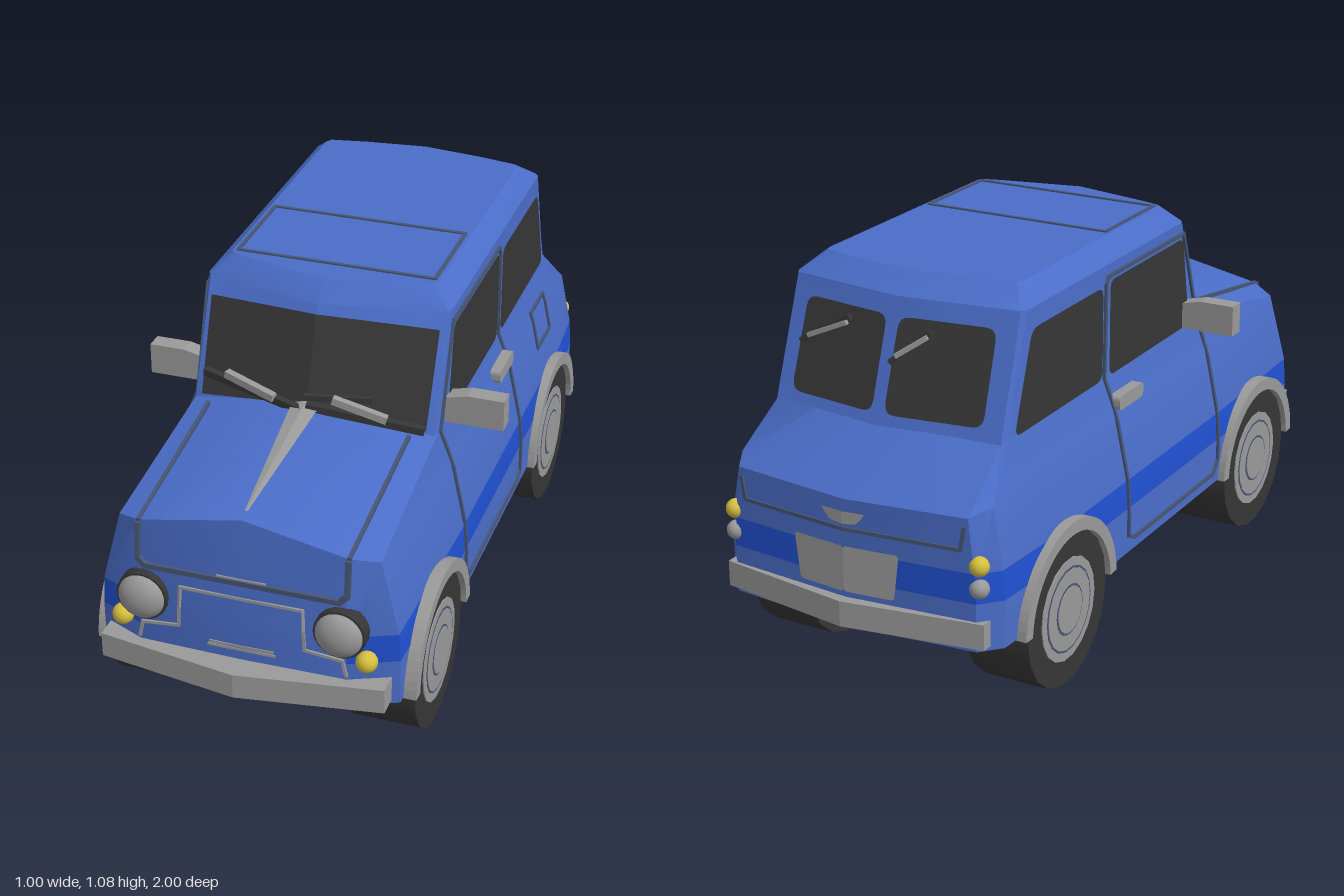
import * as THREE from 'three';
import { mergeGeometries, toCreasedNormals } from 'three/addons/utils/BufferGeometryUtils.js';

const paint = (name, color) => {
  const m = new THREE.MeshStandardMaterial({ color, side: THREE.DoubleSide });
  m.name = name;
  return m;
};

export function createModel() {
  const car = new THREE.Group();
  car.name = 'smallCar';
  const blue = paint('bodyBlue', 0x4a6dc8), stripe = paint('stripeBlue', 0x2050d0);
  const grey = paint('trimGrey', 0x9a9a9a), dark = paint('glassAndRubber', 0x363636);
  const line = paint('seamGrey', 0x465575), yellow = paint('lampYellow', 0xd6c040);

  const add = (name, geo, mat, x = 0, y = 0, z = 0, parent = car) => {
    const m = new THREE.Mesh(geo, mat);
    m.name = name;
    m.position.set(x, y, z);
    parent.add(m);
    return m;
  };

  // Surface rules shared by the body and the parts that lie on it
  const screenZ = (x, y) => 0.42 - 0.22 * Math.abs(x) - 0.4 * (y - 0.79);
  const rearZ = (x, y) => -0.81 + 0.136 * Math.abs(x) + 0.355 * (y - 0.72);
  const noseZ = y => 0.928 - 0.1 * Math.max(0, y - 0.44);
  const tailZ = x => -0.97 + 0.1 * Math.abs(x);
  const hoodY = (x, z) => 0.715 + 0.156 * (0.9 - z) - 0.2 * Math.abs(x);
  const sideProfile = [[0.23, 0.42], [0.36, 0.42], [0.44, 0.415], [0.63, 0.375], [0.72, 0.34], [1.03, 0.34], [1.08, 0.29]];
  const sideX = y => {
    const i = Math.max(1, sideProfile.findIndex(p => p[0] >= y));
    const [a, b] = [sideProfile[i - 1], sideProfile[i]];
    return a[1] + (b[1] - a[1]) * (y - a[0]) / (b[0] - a[0]);
  };

  // Body: half outlines from front centre round to rear centre, stacked upwards
  const plan = [[0, 0.93], [0.28, 0.925], [0.405, 0.87], [0.42, 0.38], [0.42, -0.7], [0.41, -0.88], [0.36, -0.935], [0, -0.97]];
  const level = (y, k) => plan.map(([x, z]) => [x * k, y, z]);
  const front = (x, y) => [x, y, screenZ(x, y)], rear = (x, y) => [x, y, rearZ(x, y)];
  const halves = [
    level(0.23, 1), level(0.36, 1), level(0.44, 0.988),
    [[0, 0.715, 0.9], [0.28, 0.66, 0.9], [0.35, 0.64, 0.86], [0.375, 0.63, 0.38], [0.375, 0.63, -0.7],
      [0.375, 0.6, -0.87], [0.34, 0.585, -0.935], [0, 0.58, -0.97]],
    [front(0, 0.79), front(0.28, 0.732), front(0.335, 0.72), [0.34, 0.72, 0.35], [0.34, 0.72, -0.74],
      rear(0.335, 0.715), rear(0.2, 0.72), rear(0, 0.72)],
    [front(0, 1.03), front(0.28, 1.03), front(0.33, 1.03), [0.34, 1.03, 0.235], [0.34, 1.03, -0.64],
      rear(0.33, 1.03), rear(0.2, 1.03), rear(0, 1.03)],
    [[0, 1.08, 0.27], [0.23, 1.08, 0.22], [0.28, 1.08, 0.205], [0.29, 1.08, 0.19], [0.29, 1.08, -0.57],
      [0.28, 1.08, -0.59], [0.17, 1.08, -0.61], [0, 1.08, -0.63]],
  ];
  const rings = halves.map(h => [...h, ...h.slice(1, -1).reverse().map(([x, y, z]) => [-x, y, z])]);
  const faces = [[], [], []];
  const n = rings[0].length;
  rings.slice(0, -1).forEach((low, r) => {
    const up = rings[r + 1];
    for (let i = 0; i < n; i++) {
      const j = (i + 1) % n;
      const striped = r === 1 && i !== 0 && i !== n - 1;
      faces[striped ? 1 : 0].push(low[i], low[j], up[j], low[i], up[j], up[i]);
    }
  });
  for (let i = 1; i < n - 1; i++) {
    const top = rings[rings.length - 1], floor = rings[0];
    faces[0].push(top[0], top[i], top[i + 1]);
    faces[2].push(floor[0], floor[i + 1], floor[i]);
  }
  const shell = new THREE.BufferGeometry();
  shell.setAttribute('position', new THREE.Float32BufferAttribute(faces.flat(2), 3));
  let start = 0;
  faces.forEach((f, i) => { shell.addGroup(start, f.length, i); start += f.length; });
  add('body', toCreasedNormals(shell, 0.5), [blue, stripe, dark]);

  // Flat plate with rounded corners, laid on a surface by a placing rule
  const rounded = (pts, r) => {
    const v = pts.map(p => new THREE.Vector2(...p)), s = new THREE.Shape();
    v.forEach((p, i) => {
      const toward = q => p.clone().add(q.clone().sub(p).setLength(r));
      const a = toward(v[(i + v.length - 1) % v.length]), b = toward(v[(i + 1) % v.length]);
      i ? s.lineTo(a.x, a.y) : s.moveTo(a.x, a.y);
      s.quadraticCurveTo(p.x, p.y, b.x, b.y);
    });
    return s;
  };
  const plate = (name, pts, r, place, mat) => {
    const g = new THREE.ShapeGeometry(rounded(pts, r), 4), p = g.attributes.position;
    for (let i = 0; i < p.count; i++) p.setXYZ(i, ...place(p.getX(i), p.getY(i)));
    // keep the front of the plate facing away from the car
    g.computeVertexNormals();
    const c = new THREE.Vector3().fromBufferAttribute(p, 0).sub(new THREE.Vector3(0, 0.5, 0));
    if (new THREE.Vector3().fromBufferAttribute(g.attributes.normal, 0).dot(c) < 0) {
      g.index.array.reverse();
      g.computeVertexNormals();
    }
    return add(name, g, mat);
  };
  // Square bar between two points, and lines made of short bars
  const bar = (a, b, w) => {
    const [p, q] = [new THREE.Vector3(...a), new THREE.Vector3(...b)];
    const g = new THREE.BoxGeometry(w, w, p.distanceTo(q) + w * 0.5);
    const o = new THREE.Object3D();
    o.position.copy(p).lerp(q, 0.5);
    o.lookAt(q);
    o.updateMatrix();
    return g.applyMatrix4(o.matrix);
  };
  const seam = (name, pts, place, mat = line, w = 0.01) => {
    const bars = [];
    for (let i = 1; i < pts.length; i++) for (let k = 0; k < 8; k++) {
      const at = t => place(...pts[i - 1].map((a, d) => a + (pts[i][d] - a) * t));
      bars.push(bar(at(k / 8), at((k + 1) / 8), w));
    }
    add(name, mergeGeometries(bars), mat);
  };

  const wheelShape = new THREE.Shape();
  wheelShape.absarc(0, 0, 0.247, 0.06, Math.PI - 0.06, false);
  wheelShape.absarc(0, 0, 0.212, Math.PI - 0.06, 0.06, true);
  const archGeo = new THREE.ExtrudeGeometry(wheelShape, { depth: 0.06, bevelEnabled: false, curveSegments: 14 });

  for (const s of [1, -1]) {
    const onSide = (z, y) => [s * (sideX(y) + 0.002), y, z];
    const onGlass = (z, y) => [s * 0.345, y, z];
    // Windows
    plate('frontSideWindow', [[0.285, 0.72], [0.235, 0.985], [-0.205, 0.985], [-0.205, 0.72]], 0.025, onGlass, dark);
    plate('rearSideWindow', [[-0.245, 0.72], [-0.245, 0.978], [-0.625, 0.978], [-0.715, 0.72]], 0.03, onGlass, dark);
    plate('windscreen', [[0, 0.785], [0.315, 0.735], [0.318, 0.985], [0, 1.008]], 0.004,
      (x, y) => [s * x, y, screenZ(x, y) + 0.007], dark);
    plate('rearWindow', [[0.018, 0.75], [0.285, 0.75], [0.28, 0.985], [0.018, 0.985]], 0.03,
      (x, y) => [s * x, y, rearZ(x, y) - 0.007], dark);
    // Door outline and handle
    seam('doorSeam', [[0.34, 0.3], [0.34, 0.72], [0.24, 0.998], [-0.21, 0.998], [-0.225, 0.98], [-0.23, 0.72],
      [-0.23, 0.28], [-0.2, 0.265], [0.31, 0.265], [0.34, 0.3]], onSide);
    const handle = rounded([[-0.07, -0.02], [0.07, -0.02], [0.07, 0.02], [-0.07, 0.02]], 0.015);
    add('doorHandle', new THREE.ExtrudeGeometry(handle, { depth: 0.03, bevelEnabled: false }).rotateY(Math.PI / 2),
      grey, s * 0.375 - 0.015, 0.655, -0.16);
    // Wing mirror
    const mirror = new THREE.Shape([[0.33, 0.72], [0.5, 0.72], [0.5, 0.807], [0.4, 0.807], [0.33, 0.79]]
      .map(([x, y]) => new THREE.Vector2(s * x, y)));
    add('wingMirror', new THREE.ExtrudeGeometry(mirror, { depth: 0.05, bevelEnabled: false }), grey, 0, 0, 0.24);
    // Bonnet edge line, ornament half and lamps
    seam('bonnetSeam', [[0.28, 0.42], [0.28, 0.9]], (x, z) => [s * x, hoodY(x, z) + 0.001, z]);
    plate('bonnetStrip', [[0, 0.425], [0.038, 0.43], [0.004, 0.87], [0, 0.87]], 0.001,
      (x, z) => [s * x, hoodY(x, z) + 0.006, z], grey);
    add('headlampRim', new THREE.CylinderGeometry(0.069, 0.069, 0.04, 20).rotateX(Math.PI / 2), dark, s * 0.265, 0.455, 0.92);
    add('headlamp', new THREE.SphereGeometry(0.064, 20, 14).scale(1, 1, 0.6), grey, s * 0.265, 0.455, 0.935);
    add('indicator', new THREE.SphereGeometry(0.029, 14, 10), yellow, s * 0.33, 0.372, 0.915);
    add('rearIndicator', new THREE.SphereGeometry(0.026, 14, 10), yellow, s * 0.365, 0.46, -0.925);
    add('tailLamp', new THREE.SphereGeometry(0.026, 14, 10), grey, s * 0.365, 0.4, -0.925);
    // Rear number plate and boot handle
    plate('rearPlate', [[0, 0.33], [0.14, 0.33], [0.155, 0.455], [0, 0.455]], 0.01,
      (x, y) => [s * x, y, tailZ(x) - 0.007], grey);
    plate('bootHandle', [[0, 0.515], [0.04, 0.52], [0.065, 0.55], [0, 0.55]], 0.005,
      (x, y) => [s * x, y, tailZ(x) - 0.008], grey);

    // Wheels and arch trims
    for (const z of [0.6, -0.58]) {
      const wheel = new THREE.Group();
      wheel.name = 'wheel';
      wheel.position.set(s * 0.333, 0.212, z);
      car.add(wheel);
      const disc = (name, r, w, mat) =>
        add(name, toCreasedNormals(new THREE.CylinderGeometry(r, r, w, 18).rotateZ(Math.PI / 2), 0.6), mat, 0, 0, 0, wheel);
      disc('tyre', 0.212, 0.184, dark);
      disc('rim', 0.142, 0.19, grey);
      disc('rimGroove', 0.118, 0.192, line);
      disc('wheelDish', 0.112, 0.194, grey);
      disc('hubGroove', 0.07, 0.196, line);
      disc('hubCap', 0.064, 0.2, grey);
      add('archTrim', archGeo.clone().rotateY(Math.PI / 2), grey, s > 0 ? 0.38 : -0.44, 0.212, z);
    }
  }

  // Bumpers, pointed in the middle
  const bumperPlan = new THREE.Shape([[-0.385, 0.88], [0.385, 0.88], [0.385, 0.94], [0, 1], [-0.385, 0.94]]
    .map(([x, z]) => new THREE.Vector2(x, -z)));
  const bumper = new THREE.ExtrudeGeometry(bumperPlan, { depth: 0.07, bevelEnabled: false }).rotateX(-Math.PI / 2);
  add('frontBumper', bumper, grey, 0, 0.242, 0);
  add('rearBumper', bumper, grey, 0, 0.242, 0).rotation.y = Math.PI;

  // Grille outline, louvres and bonnet lip
  const onNose = (x, y) => [x, y, noseZ(y)];
  seam('grilleOutline', [[-0.28, 0.325], [-0.27, 0.37], [-0.17, 0.38], [-0.165, 0.495], [0.165, 0.495],
    [0.17, 0.38], [0.27, 0.37], [0.28, 0.325]], onNose, grey, 0.008);
  for (const [y, w] of [[0.342, 0.09], [0.352, 0.085], [0.548, 0.065]])
    seam('louvre', [[-w, y], [w, y]], onNose, grey, 0.007);
  seam('bonnetLip', [[-0.28, 0.655], [-0.28, 0.56], [-0.26, 0.54], [0.26, 0.54], [0.28, 0.56], [0.28, 0.655]], onNose, line, 0.014);

  // Sunroof, boot and fuel flap outlines
  seam('sunroofSeam', [[-0.275, -0.1], [0.275, -0.1], [0.275, 0.185], [-0.275, 0.185], [-0.275, -0.1]], (x, z) => [x, 1.079, z]);
  seam('bootSeam', [[-0.33, 0.56], [-0.32, 0.5], [0, 0.5], [0.32, 0.5], [0.33, 0.56]], (x, y) => [x, y, tailZ(x)]);
  seam('fuelFlapSeam', [[-0.5, 0.54], [-0.5, 0.65], [-0.64, 0.65], [-0.64, 0.54], [-0.5, 0.54]], (z, y) => [sideX(y) + 0.001, y, z]);

  // Wipers
  const wiper = (name, a, b, surface, gap, w, mat) =>
    add(name, bar([...a, surface(...a) + gap], [...b, surface(...b) + gap], w), mat);
  wiper('wiperBlade', [-0.3, 0.803], [0, 0.778], screenZ, 0.025, 0.02, dark);
  wiper('wiperBlade', [0, 0.813], [0.17, 0.813], screenZ, 0.025, 0.015, dark);
  wiper('wiperBlade', [0.01, 0.79], [0.31, 0.745], screenZ, 0.025, 0.02, dark);
  wiper('wiperArm', [-0.23, 0.82], [-0.09, 0.797], screenZ, 0.04, 0.02, grey);
  wiper('wiperArm', [0.08, 0.815], [0.215, 0.775], screenZ, 0.04, 0.02, grey);
  for (const [x0, x1] of [[0.27, 0.13], [-0.02, -0.11]]) {
    wiper('rearWiperBlade', [x0, 0.88], [x1, 0.96], rearZ, -0.018, 0.014, dark);
    wiper('rearWiperArm', [x0 * 0.8 + x1 * 0.2, 0.9], [x1, 0.95], rearZ, -0.03, 0.012, grey);
  }
  return car;
}
